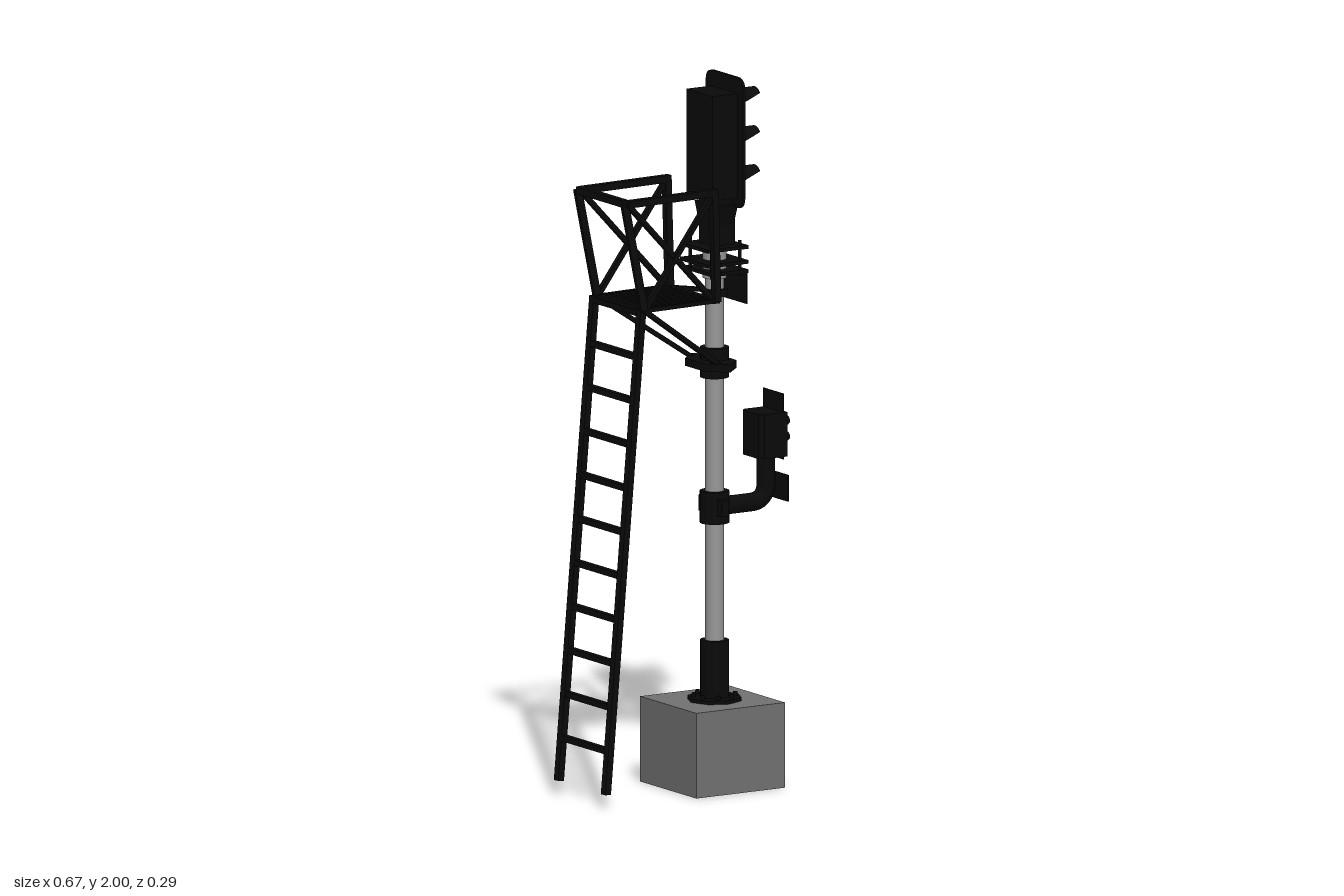
import * as THREE from 'three';

export function createModel() {
  const mat = (name, color, side = THREE.FrontSide) => {
    const m = new THREE.MeshStandardMaterial({ color, side });
    m.name = name;
    return m;
  };
  const black = mat('black paint', 0x0a0a0a, THREE.DoubleSide);
  const concrete = mat('concrete grey', 0x727272);
  const steel = mat('galvanised steel', 0x989898);
  const glass = mat('lamp glass', 0xa8a8a8);

  const model = new THREE.Group();
  model.name = 'railwaySignal';
  const upper = new THREE.Group();
  upper.name = 'mastAssembly';
  upper.position.z = 0.007;
  model.add(upper);

  const PX = 0.112; // mast axis

  const add = (name, geo, material, x = 0, y = 0, z = 0, parent = upper) => {
    const m = new THREE.Mesh(geo, material);
    m.name = name;
    m.position.set(x, y, z);
    parent.add(m);
    return m;
  };
  // Box given by its limits in x and y and its half width in z
  const box = (name, x0, x1, y0, y1, hz, material = black) =>
    add(name, new THREE.BoxGeometry(x1 - x0, y1 - y0, hz * 2), material, (x0 + x1) / 2, (y0 + y1) / 2, 0);
  // Upright cylinder around the mast axis
  const ring = (name, r, y0, y1, material = black, sides = 20) =>
    add(name, new THREE.CylinderGeometry(r, r, y1 - y0, sides), material, PX, (y0 + y1) / 2, 0);
  // Square bar between two points
  const bar = (name, a, b, t) => {
    const va = new THREE.Vector3(...a), vb = new THREE.Vector3(...b);
    const m = add(name, new THREE.BoxGeometry(t, t, va.distanceTo(vb)), black);
    m.position.copy(va).add(vb).multiplyScalar(0.5);
    m.lookAt(vb);
    return m;
  };
  // Outline in (z, y) extruded along x from x0
  const platePoints = (name, pts, x0, depth) => {
    const g = new THREE.ExtrudeGeometry(new THREE.Shape(pts.map(p => new THREE.Vector2(...p))),
      { depth, bevelEnabled: false });
    g.rotateY(Math.PI / 2);
    return add(name, g, black, x0, 0, 0);
  };

  // Foundation and mast
  add('foundation', new THREE.BoxGeometry(0.29, 0.24, 0.29), concrete, 0.11, 0.12, 0, model);
  ring('baseFlange', 0.077, 0.24, 0.25, black, 8);
  ring('baseSleeve', 0.04, 0.25, 0.41);
  ring('mast', 0.026, 0.41, 1.5, steel);
  ring('mastCap', 0.033, 1.43, 1.51, steel);
  for (let i = 0; i < 8; i++) {
    const a = (i + 0.5) * Math.PI / 4;
    add('flangeBolt', new THREE.CylinderGeometry(0.006, 0.006, 0.012, 6), black,
      PX + Math.cos(a) * 0.058, 0.256, Math.sin(a) * 0.058);
  }

  // Ladder, leaning towards the platform
  const foot = [-0.325, 0.04], head = [-0.2, 1.39], Z = 0.121;
  const ladderX = y => foot[0] + (head[0] - foot[0]) * (y - foot[1]) / (head[1] - foot[1]);
  for (let i = 0; i < 11; i++) {
    const y = 0.16 + i * 0.122;
    bar('ladderRung', [ladderX(y), y, -Z], [ladderX(y), y, Z], 0.017);
  }

  // Both sides of ladder, platform and guard rail
  for (const s of [-1, 1]) {
    const z = s * Z, rear = [-0.255, 1.695, z], front = [0.037, 1.695, z];
    const floorRear = [-0.2, 1.39, z], floorFront = [0.037, 1.39, z];
    bar('ladderRail', [...foot, z], floorRear, 0.02);
    bar('rearPost', floorRear, rear, 0.02);
    bar('topRail', rear, [0.046, 1.695, z], 0.02);
    bar('frontPost', floorFront, front, 0.02);
    bar('crossBrace', floorRear, front, 0.014);
    bar('crossBrace', rear, floorFront, 0.014);
    bar('platformEdge', floorRear, [0.046, 1.39, z], 0.012);
    bar('platformLink', [0.042, 1.39, z], [0.1, 1.39, s * 0.035], 0.012);
    bar('supportStrut', floorRear, [0.095, 1.19, s * 0.068], 0.013);
  }
  bar('rearTopRail', [-0.255, 1.695, -Z], [-0.255, 1.695, Z], 0.02);
  for (const x of [-0.2, 0.037]) bar('platformEnd', [x, 1.39, -Z], [x, 1.39, Z], 0.014);
  for (let i = 0; i < 8; i++) {
    const z = (i - 3.5) * 0.028;
    bar('platformSlat', [-0.2, 1.39, z], [0.037, 1.39, z], 0.014);
  }
  ring('platformCollar', 0.036, 1.38, 1.4);

  // Strut clamp on the mast
  ring('strutClamp', 0.04, 1.15, 1.235);
  const lug = new THREE.CylinderGeometry(0.1, 0.1, 0.022, 6);
  lug.scale(0.6, 1, 1);
  add('strutClampLugs', lug, black, 0.1, 1.19, 0);

  // Head mounting plates with bolts
  for (const [x0, y] of [[0.045, 1.52], [0.045, 1.478], [0.058, 1.452]])
    box('mountingPlate', x0, 0.178, y - 0.005, y + 0.005, 0.071);
  for (const x of [0.068, 0.16]) for (const z of [-0.055, 0.055])
    add('mountingBolt', new THREE.CylinderGeometry(0.005, 0.005, 0.1, 6), black, x, 1.488, z);
  box('numberPlate', 0.172, 0.175, 1.36, 1.455, 0.07);

  // Signal head
  box('headNeck', 0.085, 0.155, 1.52, 1.66, 0.037);
  platePoints('headNeckTaper', [[-0.037, 1.58], [0.037, 1.58], [0.06, 1.64], [-0.06, 1.64]], 0.085, 0.066);
  box('headCase', 0.063, 0.145, 1.66, 1.955, 0.067);
  const boardShape = new THREE.Shape();
  const bw = 0.096, y0 = 1.632, y1 = 2, r = 0.035;
  boardShape.moveTo(-bw + r, y0).lineTo(bw - r, y0).quadraticCurveTo(bw, y0, bw, y0 + r)
    .lineTo(bw, y1 - r).quadraticCurveTo(bw, y1, bw - r, y1)
    .lineTo(-bw + r, y1).quadraticCurveTo(-bw, y1, -bw, y1 - r)
    .lineTo(-bw, y0 + r).quadraticCurveTo(-bw, y0, -bw + r, y0);
  const boardGeo = new THREE.ExtrudeGeometry(boardShape, { depth: 0.008, bevelEnabled: false });
  boardGeo.rotateY(Math.PI / 2);
  add('backBoard', boardGeo, black, 0.144);

  // Hood: an arc that narrows towards its tip
  const hoodGeo = (radius, length, a0, a1) => {
    const g = new THREE.PlaneGeometry(1, 1, 16, 4), p = g.attributes.position;
    for (let i = 0; i < p.count; i++) {
      const t = p.getY(i) + 0.5;
      const a = p.getX(i) * 2 * (a0 + (a1 - a0) * t);
      p.setXYZ(i, t * length, Math.cos(a) * radius, Math.sin(a) * radius);
    }
    g.computeVertexNormals();
    return g;
  };
  for (const y of [1.92, 1.81, 1.7]) {
    const lens = new THREE.CylinderGeometry(0.026, 0.026, 0.008, 24);
    lens.rotateZ(Math.PI / 2);
    add('lamp', lens, glass, 0.155, y, 0);
    add('lampHood', hoodGeo(0.034, 0.092, 2.0, 0.95), black, 0.152, y, 0);
  }

  // Lower signal: clamp, bent arm, case, boards and lamps
  ring('armClamp', 0.041, 0.74, 0.83);
  box('armClampFlange', 0.098, 0.122, 0.765, 0.81, 0.06);
  const path = new THREE.CurvePath();
  const V = (x, y) => new THREE.Vector3(x, y, 0);
  path.add(new THREE.LineCurve3(V(0.14, 0.784), V(0.23, 0.784)));
  path.add(new THREE.QuadraticBezierCurve3(V(0.23, 0.784), V(0.28, 0.784), V(0.28, 0.834)));
  path.add(new THREE.LineCurve3(V(0.28, 0.834), V(0.28, 0.92)));
  add('bentArm', new THREE.TubeGeometry(path, 32, 0.026, 16), black);
  const caseShape = new THREE.Shape([[0.23, -0.04], [0.243, -0.052], [0.318, -0.052], [0.318, 0.052],
    [0.243, 0.052], [0.23, 0.04]].map(p => new THREE.Vector2(...p)));
  const caseGeo = new THREE.ExtrudeGeometry(caseShape, { depth: 0.125, bevelEnabled: false });
  caseGeo.rotateX(-Math.PI / 2);
  add('lowerCase', caseGeo, black, 0, 0.912, 0);
  box('lowerBackBoard', 0.304, 0.307, 0.905, 1.09, 0.052);
  box('lowerNumberPlate', 0.304, 0.307, 0.79, 0.865, 0.077);
  for (const y of [1.005, 0.96]) for (const z of [-0.02, 0.02])
    add('lowerLampHood', hoodGeo(0.016, 0.02, Math.PI, 1.6), black, 0.317, y, z);

  return model;
}
